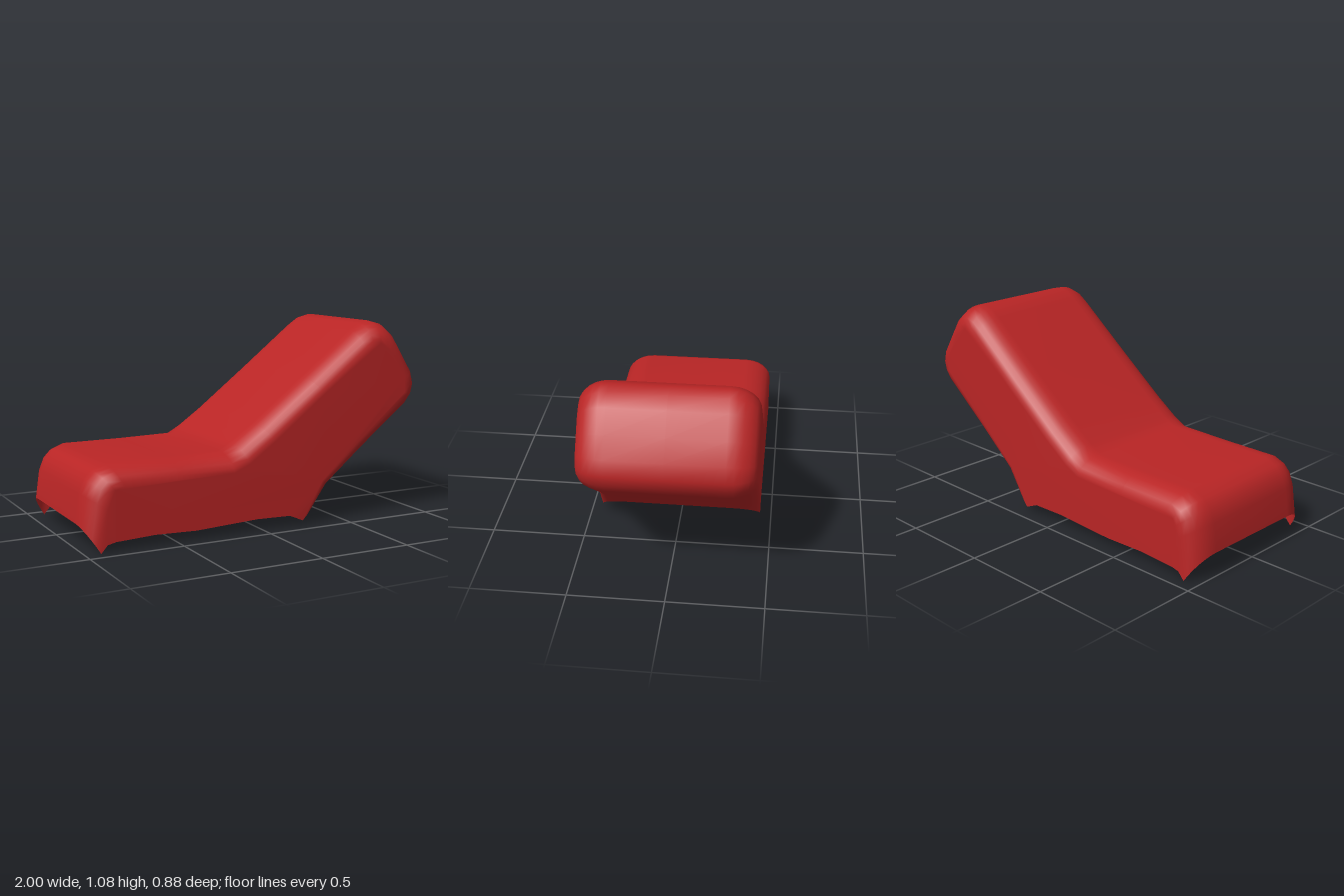
import * as THREE from 'three';

// Lounge profile: [outer x, y, side-edge x, y], from front lip over the top to the underside
const PROFILE = [
  [-1.0, 0.13, -0.92, 0.0], [-0.98, 0.28, -0.88, 0.22], [-0.95, 0.35, -0.865, 0.28],
  [-0.91, 0.39, -0.84, 0.31], [-0.84, 0.42, -0.79, 0.325], [-0.5, 0.42, -0.5, 0.325],
  [-0.2, 0.425, -0.18, 0.33], [-0.13, 0.465, -0.09, 0.37], [0.0, 0.555, 0.06, 0.475],
  [0.3, 0.785, 0.36, 0.705], [0.6, 1.02, 0.63, 0.915], [0.66, 1.06, 0.67, 0.945],
  [0.72, 1.075, 0.715, 0.96], [0.78, 1.06, 0.755, 0.945], [0.84, 1.01, 0.79, 0.91],
  [0.91, 0.9, 0.84, 0.83], [0.975, 0.8, 0.88, 0.765], [0.995, 0.72, 0.89, 0.72],
  [0.98, 0.66, 0.88, 0.68], [0.94, 0.605, 0.85, 0.645], [0.65, 0.38, 0.58, 0.43],
  [0.42, 0.195, 0.35, 0.235], [0.35, 0.135, 0.23, 0.03],
];
// Lower edge of the side walls, between the two corner tips
const LOWER_EDGE = [
  [-0.885, 0.04], [-0.84, 0.05], [-0.63, 0.06], [-0.4, 0.053], [-0.05, 0.07], [0.15, 0.065],
];
const HALF_FLAT = 0.29, ROUND = 0.15, STEPS = 6;

function shellGeometry() {
  const positions = [], indices = [], n = PROFILE.length;

  // Cross-sections over the width: rounded rim, flat middle, rounded rim
  const sections = [];
  for (let k = STEPS; k >= 0; k--) sections.push([-1, k]);
  sections.push([0, 0]);
  for (let k = 0; k <= STEPS; k++) sections.push([1, k]);
  for (const [side, k] of sections) {
    const a = (k / STEPS) * Math.PI / 2, inset = 1 - Math.cos(a);
    const z = side * (HALF_FLAT + ROUND * Math.sin(a));
    for (const [x, y, ix, iy] of PROFILE) {
      positions.push(x + (ix - x) * inset, y + (iy - y) * inset, z);
    }
  }
  for (let j = 0; j < sections.length - 1; j++) {
    for (let i = 0; i < n - 1; i++) {
      const a = j * n + i, b = a + 1, d = a + n, c = d + 1;
      indices.push(a, d, c, a, c, b);
    }
  }

  // Side walls, sharing the rim vertices so that the shading stays smooth
  for (const side of [-1, 1]) {
    const rim = side < 0 ? 0 : (sections.length - 1) * n;
    const contour = [], ids = [];
    for (const [x, y] of LOWER_EDGE) {
      ids.push(positions.length / 3);
      positions.push(x, y, side * (HALF_FLAT + ROUND));
      contour.push(new THREE.Vector2(x, y));
    }
    for (let i = n - 1; i >= 0; i--) {
      ids.push(rim + i);
      contour.push(new THREE.Vector2(PROFILE[i][2], PROFILE[i][3]));
    }
    for (const [a, b, c] of THREE.ShapeUtils.triangulateShape(contour, [])) {
      if (side > 0) indices.push(ids[a], ids[b], ids[c]);
      else indices.push(ids[a], ids[c], ids[b]);
    }
  }

  const geometry = new THREE.BufferGeometry();
  geometry.setAttribute('position', new THREE.Float32BufferAttribute(positions, 3));
  geometry.setIndex(indices);
  geometry.computeVertexNormals();
  return geometry;
}

export function createModel() {
  const red = new THREE.MeshStandardMaterial({ color: 0xb92525, side: THREE.DoubleSide });
  red.name = 'red';

  // One open-bottomed shell forms the seat and the reclined backrest
  const shell = new THREE.Mesh(shellGeometry(), red);
  shell.name = 'loungeShell';

  const group = new THREE.Group();
  group.name = 'lounge';
  group.add(shell);
  return group;
}
